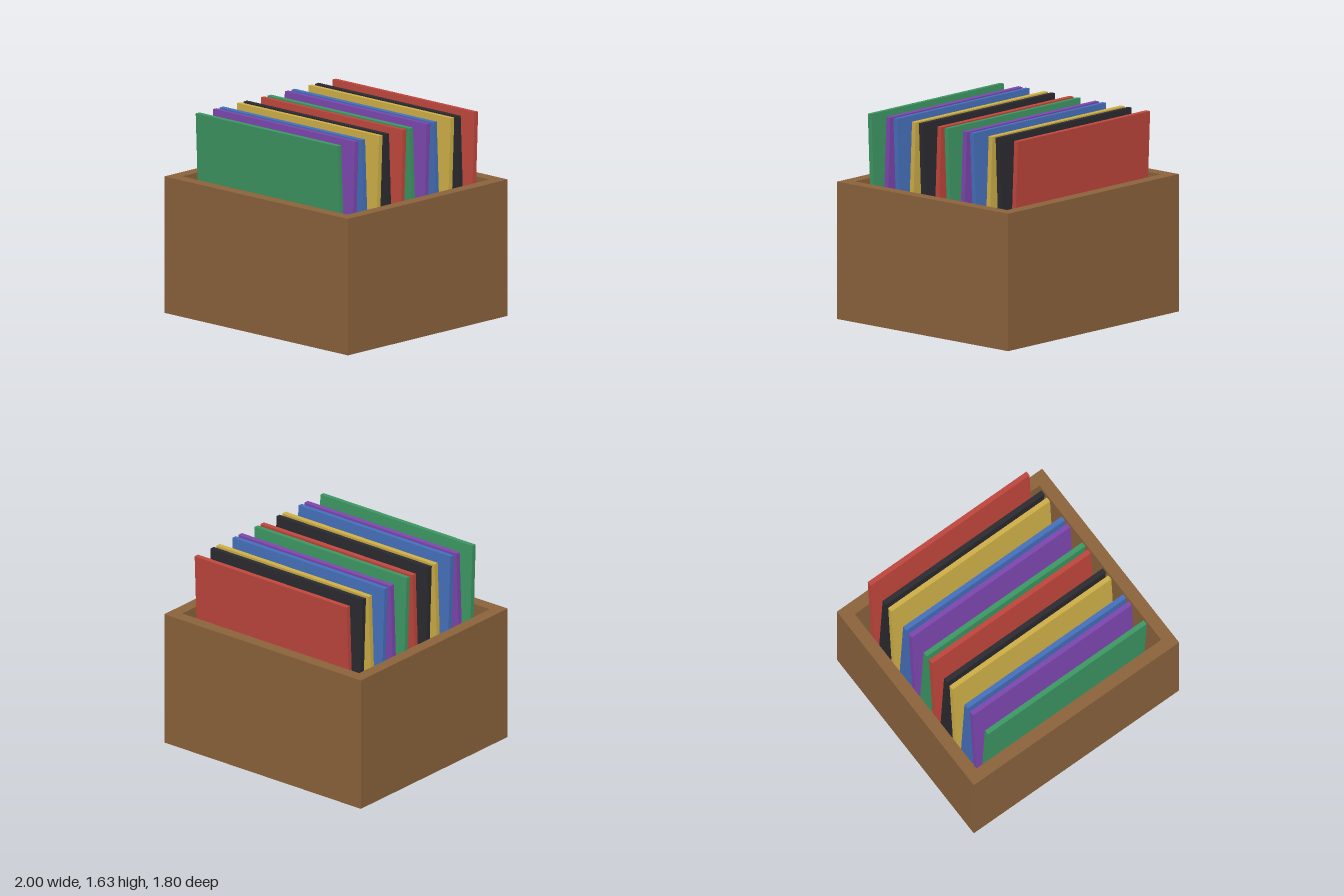
import * as THREE from 'three';

const WIDTH = 2, DEPTH = 1.8, HEIGHT = 1.1, WALL = 0.1, FLOOR = 0.08;
const SLEEVE = 1.547, THICK = 0.04, TILT = 0.04;

const rectangle = (Type, w, d) => new Type([
  new THREE.Vector2(-w / 2, -d / 2), new THREE.Vector2(w / 2, -d / 2),
  new THREE.Vector2(w / 2, d / 2), new THREE.Vector2(-w / 2, d / 2),
]);

function addMesh(parent, name, geometry, color) {
  const mesh = new THREE.Mesh(geometry, new THREE.MeshStandardMaterial({ color }));
  mesh.name = name;
  parent.add(mesh);
  return mesh;
}

export function createModel() {
  const model = new THREE.Group();
  model.name = 'recordCrate';

  // Open crate: a rectangular ring of walls plus a floor fitted inside it
  const crate = new THREE.Group();
  crate.name = 'crate';
  model.add(crate);
  const innerW = WIDTH - 2 * WALL, innerD = DEPTH - 2 * WALL;
  const ring = rectangle(THREE.Shape, WIDTH, DEPTH);
  ring.holes.push(rectangle(THREE.Path, innerW, innerD));
  const walls = new THREE.ExtrudeGeometry(ring, { depth: HEIGHT, bevelEnabled: false });
  walls.rotateX(-Math.PI / 2);
  addMesh(crate, 'crateWalls', walls, 0x8b633c);
  addMesh(crate, 'crateFloor', new THREE.BoxGeometry(innerW, FLOOR, innerD), 0x8b633c)
    .position.y = FLOOR / 2;

  // Record sleeves from back to front, leaning alternately backward and forward
  const sleeves = new THREE.Group();
  sleeves.name = 'sleeves';
  model.add(sleeves);
  const colors = [0xc0473d, 0x2b2b30, 0xd0b048, 0x4570ba, 0x7d47b0, 0x3d9763];
  const geometry = new THREE.BoxGeometry(SLEEVE, SLEEVE, THICK);
  for (let i = 0; i < 12; i++) {
    const sleeve = addMesh(sleeves, `sleeve${i + 1}`, geometry, colors[i % colors.length]);
    sleeve.position.set(0, FLOOR + SLEEVE / 2, -0.75 + i * 0.1345);
    sleeve.rotation.x = i % 2 ? TILT : -TILT;
  }

  return model;
}
